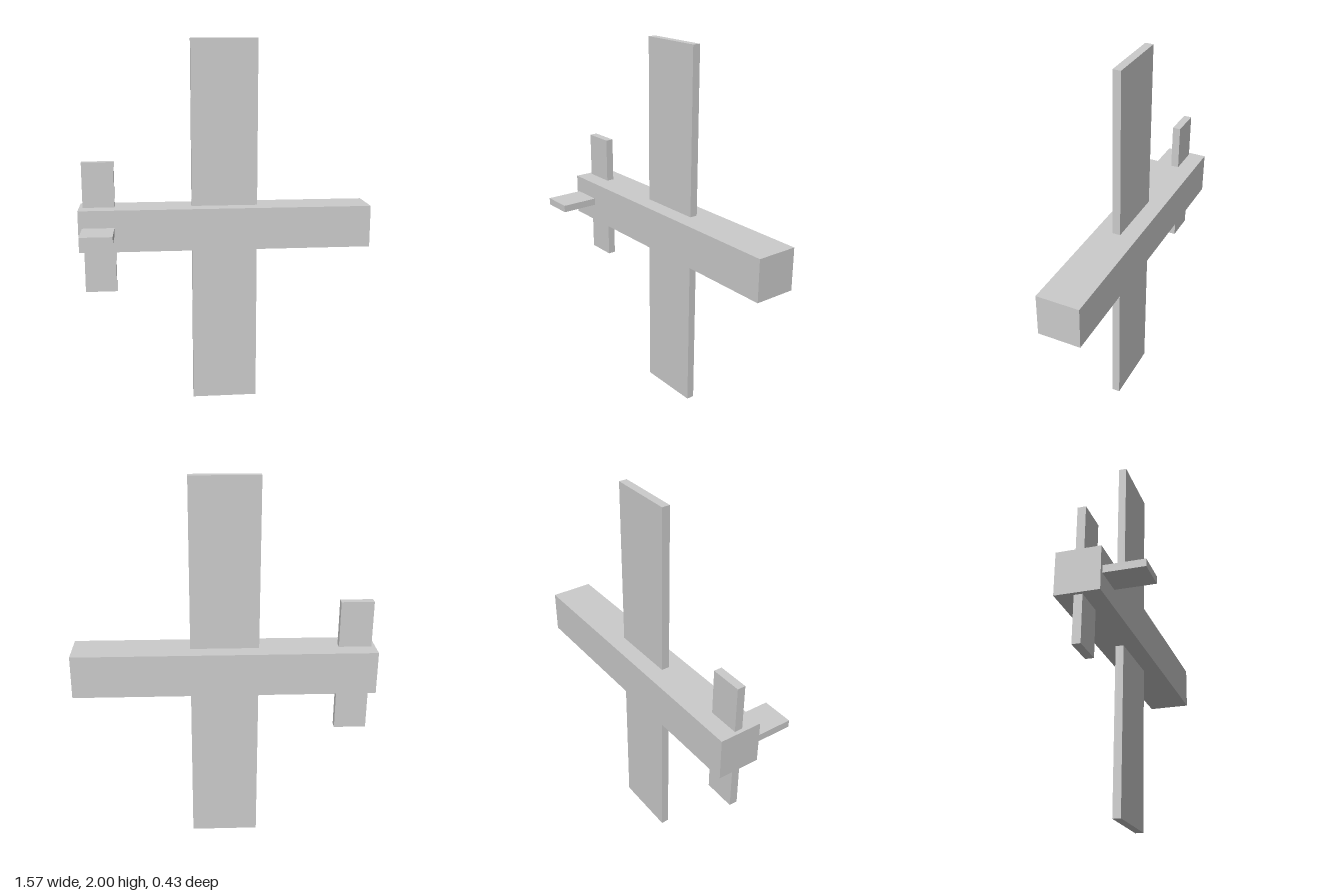
import * as THREE from 'three';

export function createModel() {
  const model = new THREE.Group();
  const material = new THREE.MeshStandardMaterial({ color: 0xcccccc, flatShading: true });
  const axisZ = -0.104; // centre line of the fuselage
  const tailX = -0.681;

  const box = (name, size, position) => {
    const mesh = new THREE.Mesh(new THREE.BoxGeometry(...size), material);
    mesh.name = name;
    mesh.position.set(...position);
    model.add(mesh);
  };

  // Square fuselage bar
  box('fuselage', [1.572, 0.226, 0.226], [0, 1, axisZ]);

  // Main wing and smaller tailplane, both passing through the fuselage
  box('mainWing', [0.357, 2, 0.043], [-0.002, 1, axisZ]);
  box('tailplane', [0.17, 0.715, 0.043], [tailX, 1, axisZ]);

  // Tail fin, rooted inside the fuselage and standing out to the front
  box('tailFin', [0.17, 0.039, 0.321], [tailX, 1, 0.0565]);

  return model;
}
